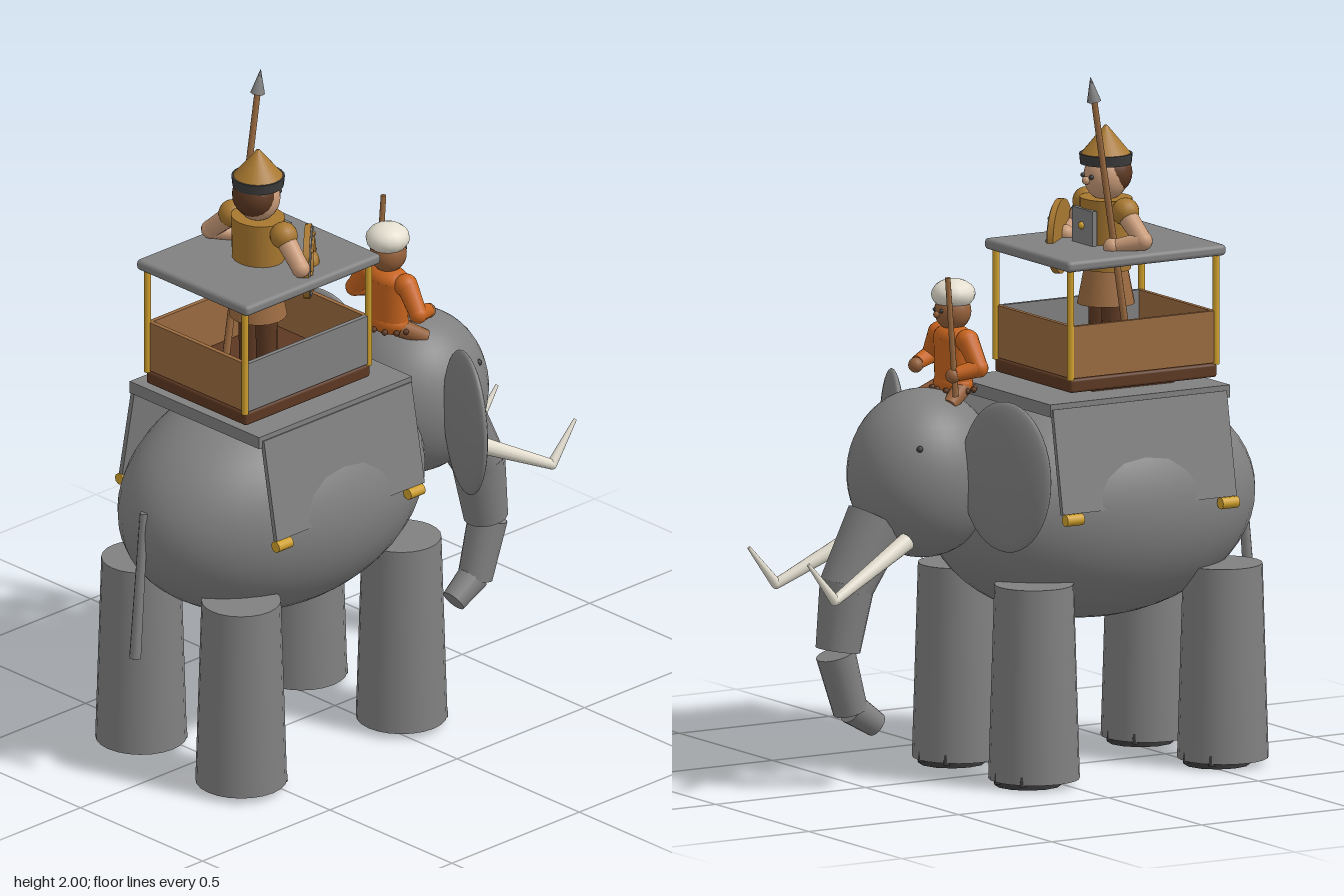
import * as THREE from 'three';
import { RoundedBoxGeometry } from 'three/addons/geometries/RoundedBoxGeometry.js';

const colours = {
  hide: 0x808080, dark: 0x3c3c3c, ivory: 0xe4dfd0, gold: 0xd0a02c, brown: 0x5c3822,
  wood: 0x9a6a40, skin: 0xc89a78, bronze: 0xa87830, orange: 0xc8641e, tan: 0x94603a,
};
const M = {};
for (const [name, color] of Object.entries(colours)) {
  M[name] = new THREE.MeshStandardMaterial({ color });
  M[name].name = name;
}

const V = (p) => new THREE.Vector3(...p);
const UP = new THREE.Vector3(0, 1, 0);

function add(parent, name, geometry, material, pos = [0, 0, 0]) {
  const mesh = new THREE.Mesh(geometry, material);
  mesh.name = name;
  mesh.position.set(...pos);
  parent.add(mesh);
  return mesh;
}
function ball(parent, name, mat, pos, r, seg = 20) {
  const mesh = add(parent, name, new THREE.SphereGeometry(1, seg, Math.round(seg * 0.7)), mat, pos);
  mesh.scale.set(...(Array.isArray(r) ? r : [r, r, r]));
  return mesh;
}
function box(parent, name, mat, pos, size) {
  return add(parent, name, new THREE.BoxGeometry(...size), mat, pos);
}
// tapered rod from a (radius ra) to b (radius rb)
function rod(parent, name, mat, a, b, ra, rb = ra, seg = 14) {
  const dir = V(b).sub(V(a));
  const mesh = add(parent, name, new THREE.CylinderGeometry(rb, ra, dir.length(), seg), mat);
  mesh.position.copy(V(a).add(V(b)).multiplyScalar(0.5));
  mesh.quaternion.setFromUnitVectors(UP, dir.normalize());
  return mesh;
}
function group(parent, name) {
  const g = new THREE.Group();
  g.name = name;
  parent.add(g);
  return g;
}

function buildElephant(root) {
  const g = group(root, 'elephant');
  ball(g, 'body', M.hide, [-0.25, 0.765, 0], [0.51, 0.34, 0.34], 40);
  ball(g, 'head', M.hide, [0.31, 0.89, 0], [0.22, 0.242, 0.205], 36);

  // trunk in four tapering lengths
  const trunk = [
    [[0.46, 0.77, 0], [0.57, 0.575, 0], 0.09, 0.077],
    [[0.56, 0.6, 0], [0.592, 0.405, 0], 0.079, 0.064],
    [[0.6, 0.395, 0], [0.55, 0.225, 0], 0.057, 0.05],
    [[0.545, 0.232, 0], [0.465, 0.178, 0], 0.045, 0.036],
  ];
  for (const [a, b, ra, rb] of trunk) rod(g, 'trunk', M.hide, a, b, ra, rb, 18);
  rod(g, 'tail', M.hide, [-0.75, 0.84, 0], [-0.785, 0.4, 0], 0.012, 0.017, 10);

  for (const s of [1, -1]) {
    const ear = ball(g, 'ear', M.hide, [0.22, 0.915, 0.305 * s], [0.03, 0.217, 0.157], 28);
    ear.rotation.y = -0.39 * s;
    ball(g, 'eye', M.dark, [0.415, 0.99, 0.155 * s], 0.01, 10);
    // bent tusk
    rod(g, 'tusk', M.ivory, [0.43, 0.72, 0.11 * s], [0.7, 0.582, 0.158 * s], 0.026, 0.015);
    ball(g, 'tuskBend', M.ivory, [0.7, 0.582, 0.158 * s], 0.015, 12);
    rod(g, 'tuskTip', M.ivory, [0.7, 0.582, 0.158 * s], [0.79, 0.695, 0.16 * s], 0.015, 0.005);
    // legs with soles and toenails
    for (const x of [-0.565, 0.065]) {
      const z = 0.205 * s;
      rod(g, 'leg', M.hide, [x, 0.018, z], [x, 0.577, z], 0.13, 0.113, 24);
      rod(g, 'sole', M.dark, [x + 0.02, 0, z], [x + 0.02, 0.03, z], 0.095, 0.1, 12);
      for (const a of [-0.75, 0, 0.75])
        rod(g, 'toenail', M.dark, [x + 0.122 * Math.cos(a), 0.012, z + 0.122 * Math.sin(a)],
          [x + 0.122 * Math.cos(a), 0.042, z + 0.122 * Math.sin(a)], 0.01, 0.008, 8);
    }
  }
}

function buildBlanket(root) {
  const g = group(root, 'blanket');
  box(g, 'blanketTop', M.hide, [-0.252, 1.082, 0], [0.6, 0.036, 0.53]);
  for (const s of [1, -1]) {
    const flap = box(g, 'blanketFlap', M.hide, [-0.248, 0.937, 0.29 * s], [0.58, 0.3, 0.014]);
    flap.rotation.x = -0.18 * s;
    for (const x of [-0.513, 0.005])
      rod(g, 'tassel', M.gold, [x - 0.028, 0.773, 0.32 * s], [x + 0.028, 0.773, 0.32 * s], 0.017, 0.017, 10);
  }
}

function buildHowdah(root) {
  const g = group(root, 'howdah');
  box(g, 'saddle', M.brown, [-0.3, 1.107, 0], [0.27, 0.03, 0.3]);
  add(g, 'floor', new RoundedBoxGeometry(0.49, 0.04, 0.41, 2, 0.008), M.brown, [-0.302, 1.133, 0]);
  for (const s of [1, -1]) {
    box(g, 'sidePanel', s > 0 ? M.hide : M.wood, [-0.302, 1.23, 0.197 * s], [0.47, 0.15, 0.014]);
    box(g, 'endPanel', M.wood, [-0.302 + 0.235 * s, 1.23, 0], [0.014, 0.15, 0.385]);
    for (const x of [-0.545, -0.06])
      rod(g, 'post', M.gold, [x, 1.15, 0.2 * s], [x, 1.475, 0.2 * s], 0.01, 0.01, 10);
  }
  add(g, 'roof', new RoundedBoxGeometry(0.53, 0.032, 0.456, 2, 0.012), M.hide, [-0.3, 1.481, 0]);
}

function buildWarrior(root) {
  const g = group(root, 'warrior');
  const x = -0.302;
  for (const s of [1, -1]) {
    rod(g, 'leg', M.brown, [x, 1.15, 0.035 * s], [x, 1.35, 0.035 * s], 0.03, 0.032);
    ball(g, 'foot', M.brown, [x + 0.02, 1.163, 0.035 * s], [0.045, 0.02, 0.028], 12);
    ball(g, 'shoulder', M.bronze, [x, 1.598, 0.105 * s], 0.04, 16);
    rod(g, 'upperArm', M.skin, [x, 1.59, 0.11 * s], [x - 0.01, 1.525, 0.185 * s], 0.03, 0.026);
    ball(g, 'elbow', M.skin, [x - 0.01, 1.525, 0.185 * s], 0.027, 14);
    rod(g, 'forearm', M.skin, [x - 0.01, 1.525, 0.185 * s], [-0.245, 1.505, 0.125 * s], 0.026, 0.02);
    ball(g, 'hand', M.skin, [-0.245, 1.505, 0.125 * s], 0.026, 14);
    ball(g, 'eye', M.dark, [x + 0.063, 1.69, 0.023 * s], 0.007, 8);
  }
  rod(g, 'skirt', M.wood, [x, 1.32, 0], [x, 1.44, 0], 0.083, 0.06, 16);
  rod(g, 'torso', M.bronze, [x, 1.42, 0], [x, 1.625, 0], 0.068, 0.072, 20).scale.z = 1.15;
  box(g, 'chestPlate', M.hide, [x + 0.072, 1.545, 0], [0.015, 0.105, 0.11]);
  ball(g, 'chestStud', M.gold, [x + 0.08, 1.55, 0], 0.011, 10);
  rod(g, 'neck', M.skin, [x, 1.6, 0], [x, 1.65, 0], 0.03);
  ball(g, 'head', M.skin, [x, 1.685, 0], [0.064, 0.07, 0.064]);
  ball(g, 'hair', M.brown, [x - 0.016, 1.695, 0], [0.06, 0.065, 0.066]);
  ball(g, 'nose', M.skin, [x + 0.066, 1.678, 0], 0.012, 10);
  // helmet
  rod(g, 'helmetBand', M.dark, [x, 1.722, 0], [x, 1.752, 0], 0.073, 0.076, 24);
  rod(g, 'helmetCone', M.bronze, [x, 1.75, 0], [x, 1.832, 0], 0.072, 0.004, 24);
  // spear
  rod(g, 'spearShaft', M.wood, [-0.31, 1.155, -0.122], [-0.186, 1.94, -0.122], 0.011, 0.009, 10);
  rod(g, 'spearHead', M.hide, [-0.187, 1.93, -0.122], [-0.175, 2, -0.122], 0.021, 0.001, 8);
  // round shield facing outward
  const shield = group(g, 'shield');
  shield.position.set(-0.225, 1.5, 0.125);
  shield.rotation.y = 0.75;
  rod(shield, 'shieldDisc', M.bronze, [0, 0, -0.01], [0, 0, 0.008], 0.107, 0.107, 28);
  rod(shield, 'shieldFace', M.hide, [0, 0, 0.008], [0, 0, 0.012], 0.1, 0.1, 28);
  add(shield, 'shieldRing', new THREE.TorusGeometry(0.065, 0.006, 8, 28), M.bronze, [0, 0, 0.012]);
  ball(shield, 'shieldBoss', M.bronze, [0, 0, 0.012], [0.03, 0.03, 0.02], 14);
  for (let i = 0; i < 8; i++) {
    const a = (i * Math.PI) / 4;
    ball(shield, 'shieldStud', M.bronze, [0.085 * Math.cos(a), 0.085 * Math.sin(a), 0.012], 0.007, 8);
  }
}

function buildDriver(root) {
  const g = group(root, 'driver');
  const x = 0.207;
  ball(g, 'hips', M.orange, [x, 1.14, 0], [0.05, 0.04, 0.072]);
  rod(g, 'torso', M.orange, [x, 1.13, 0], [x, 1.27, 0], 0.047, 0.05, 18).scale.z = 1.45;
  ball(g, 'chest', M.orange, [x, 1.268, 0], [0.05, 0.04, 0.074]);
  rod(g, 'neck', M.tan, [x, 1.28, 0], [x, 1.33, 0], 0.022);
  ball(g, 'head', M.tan, [x + 0.002, 1.346, 0], [0.053, 0.055, 0.053]);
  ball(g, 'nose', M.tan, [x + 0.056, 1.34, 0], 0.01, 8);
  ball(g, 'turban', M.ivory, [x, 1.395, 0], [0.064, 0.044, 0.063], 14);
  for (let i = 0; i < 12; i++) {
    const a = (i * Math.PI) / 6;
    ball(g, 'beltBead', M.brown, [x + 0.055 * Math.cos(a), 1.125, 0.074 * Math.sin(a)], 0.009, 8);
  }
  for (const s of [1, -1]) {
    ball(g, 'shoulder', M.orange, [x, 1.27, 0.075 * s], 0.034, 16);
    rod(g, 'upperArm', M.orange, [x, 1.27, 0.08 * s], [x - 0.005, 1.2, 0.13 * s], 0.031, 0.026);
    ball(g, 'elbow', M.orange, [x - 0.005, 1.2, 0.13 * s], 0.027, 14);
    rod(g, 'forearm', M.orange, [x - 0.005, 1.2, 0.13 * s], [0.262, 1.185, 0.105 * s], 0.026, 0.021);
    ball(g, 'hand', M.tan, [0.27, 1.18, 0.1 * s], 0.022, 14);
    rod(g, 'leg', M.tan, [x, 1.13, 0.045 * s], [0.275, 1.09, 0.085 * s], 0.028, 0.022);
    ball(g, 'eye', M.dark, [x + 0.051, 1.352, 0.018 * s], 0.006, 8);
  }
  rod(g, 'goad', M.wood, [0.264, 1.12, -0.105], [0.291, 1.465, -0.105], 0.009, 0.008, 10);
}

export function createModel() {
  const root = new THREE.Group();
  root.name = 'warElephant';
  for (const build of [buildElephant, buildBlanket, buildHowdah, buildWarrior, buildDriver]) build(root);
  return root;
}
